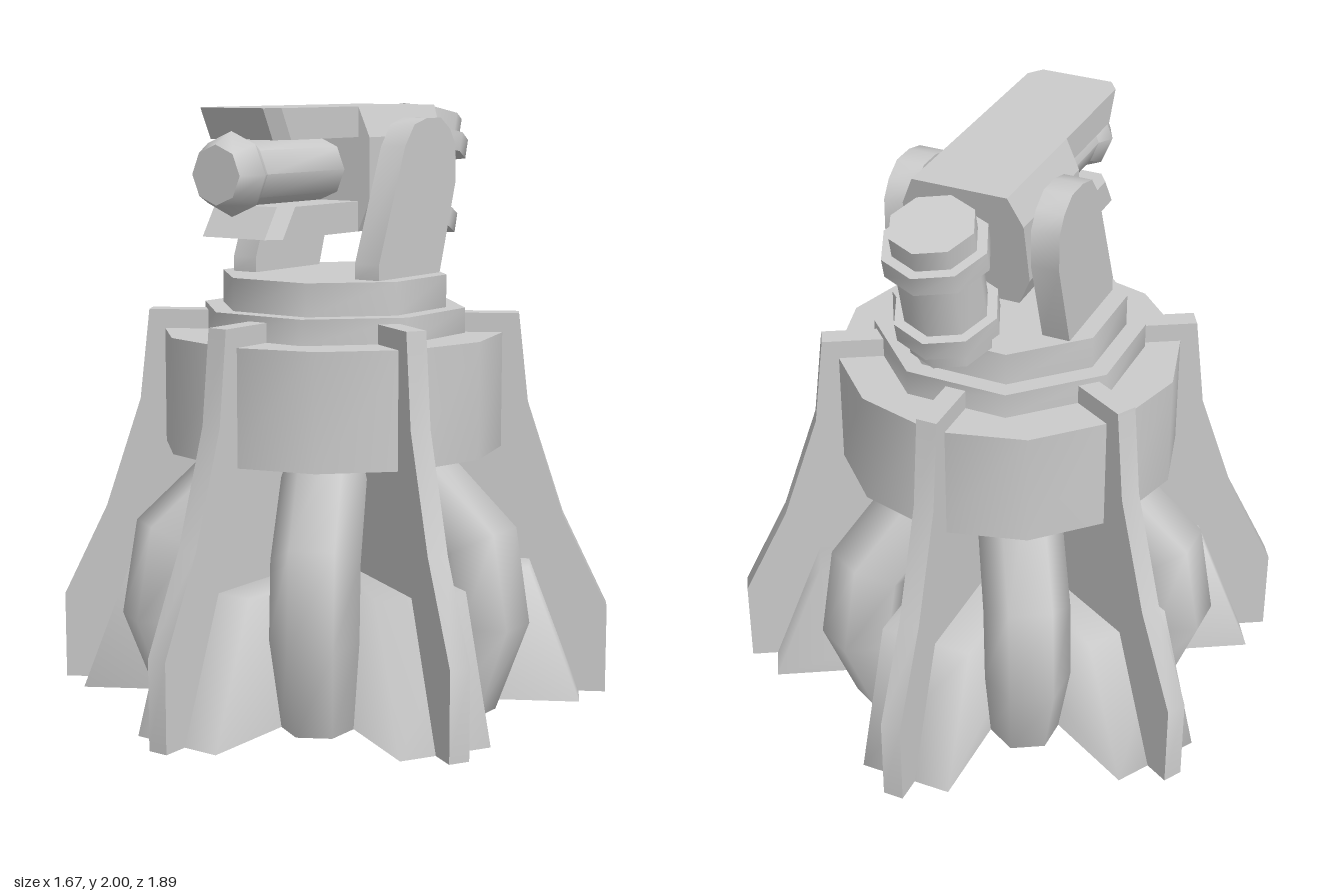
import * as THREE from 'three';
import { toCreasedNormals } from 'three/addons/utils/BufferGeometryUtils.js';

const material = new THREE.MeshStandardMaterial({ color: 0xcccccc, side: THREE.DoubleSide });
const SIXTH = Math.PI / 3;

export function createModel() {
  const model = new THREE.Group();

  const add = (name, geometry, crease = 0.9, parent = model) => {
    const mesh = new THREE.Mesh(toCreasedNormals(geometry, crease), material);
    mesh.name = name;
    parent.add(mesh);
    return mesh;
  };

  // Three full-width fins and wedge feet cross at the centre, making six of each
  const finHalf = [[0.945, 0], [0.945, 0.3], [0.79, 0.62], [0.665, 1], [0.63, 1.31]];
  const footHalf = [[0.855, 0], [0.678, 0.465]];
  for (let i = 0; i < 3; i++) {
    const angle = Math.PI / 6 + i * SIXTH;
    add('fin', openBottom(plate(mirrored(finHalf), 0.07)), 0.6).rotation.y = angle;
    add('foot', openBottom(plate(mirrored(footHalf), 0.32)), Math.PI).rotation.y = angle;
  }

  // Bent pipes between the fins
  const pipe = pipeGeometry();
  for (let i = 0; i < 6; i++) add('pipe', pipe, 1.2).rotation.y = i * SIXTH;

  // Twelve-sided drum, octagonal collar and turntable
  add('drum', drum(0.585, 12, 0, 0.855, 1.245));
  const octagon = (apothem) => apothem / Math.cos(Math.PI / 8);
  add('collar', drum(octagon(0.42), 8, Math.PI / 8, 1.245, 1.33), 0.8);
  add('turntable', drum(octagon(0.36), 8, Math.PI / 8, 1.33, 1.44), 0.8);

  // Yoke arms, outlined as (z, y)
  const arm = [[0.165, 1.44], [0.165, 1.49], [0.015, 1.87], [-0.04, 1.94], [-0.115, 1.96],
    [-0.2, 1.96], [-0.26, 1.92], [-0.295, 1.865], [-0.295, 1.74], [-0.2, 1.44]];
  for (const side of [-1, 1]) {
    add('yokeArm', plate(arm, 0.095).rotateY(-Math.PI / 2)).position.x = side * 0.2525;
  }

  // Gun housing: octagonal section, upright in front and leaning at the back
  const gun = new THREE.Group();
  gun.name = 'gun';
  model.add(gun);
  const section = mirrored([[0.16, 1.59], [0.205, 1.69], [0.205, 1.9], [0.16, 2]]);
  const housing = plate(section, 1);
  moveVertices(housing, (v) => {
    v.z = v.z > 0 ? 0.083 : -0.28 - (v.y - 1.59) * 0.23;
  });
  add('housing', housing, 0.4, gun);

  // Jaws above and below the barrel, front corners cut and front faces sloping in
  const jaw = (name, y, outerZ, innerZ, innerIsBottom) => {
    const outline = mirrored([[0.16, 0], [0.16, -0.05], [0.125, -0.1]]);
    const geometry = plate(outline, 0.1).rotateX(-Math.PI / 2);
    moveVertices(geometry, (v) => {
      const tip = (v.y < 0) === innerIsBottom ? innerZ : outerZ;
      v.z = v.z < 0.01 ? 0.07 : tip - 0.1 + v.z;
    });
    add(name, geometry, 0.6, gun).position.y = y;
  };
  jaw('upperJaw', 1.95, 0.55, 0.5, true);
  jaw('lowerJaw', 1.64, 0.545, 0.48, false);

  // Barrel along z with a wider tapered muzzle
  const profile = [[0.105, 0], [0.105, 0.45], [0.135, 0.5], [0.095, 0.58], [0, 0.58]];
  const barrel = new THREE.LatheGeometry(profile.map(([x, y]) => new THREE.Vector2(x, y)), 8)
    .rotateX(Math.PI / 2);
  add('barrel', barrel, 0.8, gun).position.set(0, 1.793, 0.05);

  // Tilted canister with two bands at the rear
  const canister = new THREE.Group();
  canister.name = 'canister';
  canister.position.set(0, 1.738, -0.5);
  canister.rotation.x = -THREE.MathUtils.degToRad(14.5);
  model.add(canister);
  add('canisterBody', new THREE.CylinderGeometry(0.138, 0.138, 0.475, 8), 0.9, canister);
  for (const y of [0.134, -0.134]) {
    add('canisterBand', new THREE.CylinderGeometry(0.172, 0.172, 0.068, 8), 0.9, canister).position.y = y;
  }

  return model;
}

// Outline extruded to a plate centred on its own thickness
function plate(points, thickness) {
  const shape = new THREE.Shape(points.map(([x, y]) => new THREE.Vector2(x, y)));
  return new THREE.ExtrudeGeometry(shape, { depth: thickness, bevelEnabled: false })
    .translate(0, 0, -thickness / 2);
}

function mirrored(half) {
  return [...half, ...half.map(([x, y]) => [-x, y]).reverse()];
}

function drum(radius, sides, turn, y0, y1) {
  return new THREE.CylinderGeometry(radius, radius, y1 - y0, sides, 1, false, turn)
    .translate(0, (y0 + y1) / 2, 0);
}

function moveVertices(geometry, rule) {
  const p = geometry.attributes.position;
  const v = new THREE.Vector3();
  for (let i = 0; i < p.count; i++) {
    rule(v.fromBufferAttribute(p, i));
    p.setXYZ(i, v.x, v.y, v.z);
  }
}

// Drops the faces lying on the ground, leaving a hollow shell
function openBottom(geometry) {
  const p = geometry.attributes.position;
  const kept = [];
  for (let i = 0; i < p.count; i += 3) {
    if (Math.max(p.getY(i), p.getY(i + 1), p.getY(i + 2)) < 0.001) continue;
    for (let k = i; k < i + 3; k++) kept.push(p.getX(k), p.getY(k), p.getZ(k));
  }
  return new THREE.BufferGeometry()
    .setAttribute('position', new THREE.Float32BufferAttribute(kept, 3));
}

// Open six-sided pipe bulging outwards along +x, lofted through tilted rings
function pipeGeometry() {
  const rings = [ // distance from centre, height, radius, tilt
    [0.525, 0, 0.118, 0], [0.62, 0.32, 0.145, -0.05],
    [0.58, 0.57, 0.145, 0.49], [0.12, 0.95, 0.14, 0.85]];
  const sides = 6, positions = [], index = [];
  for (const [x, y, r, tilt] of rings) {
    for (let i = 0; i < sides; i++) {
      const a = (i + 0.5) * SIXTH;
      const out = Math.cos(a) * r;
      positions.push(x + out * Math.cos(tilt), y + out * Math.sin(tilt), Math.sin(a) * r);
    }
  }
  for (let k = 0; k < rings.length - 1; k++) {
    for (let i = 0; i < sides; i++) {
      const a = k * sides + i, b = k * sides + ((i + 1) % sides);
      index.push(a, a + sides, b, b, a + sides, b + sides);
    }
  }
  const geometry = new THREE.BufferGeometry();
  geometry.setAttribute('position', new THREE.Float32BufferAttribute(positions, 3));
  geometry.setIndex(index);
  return geometry;
}
